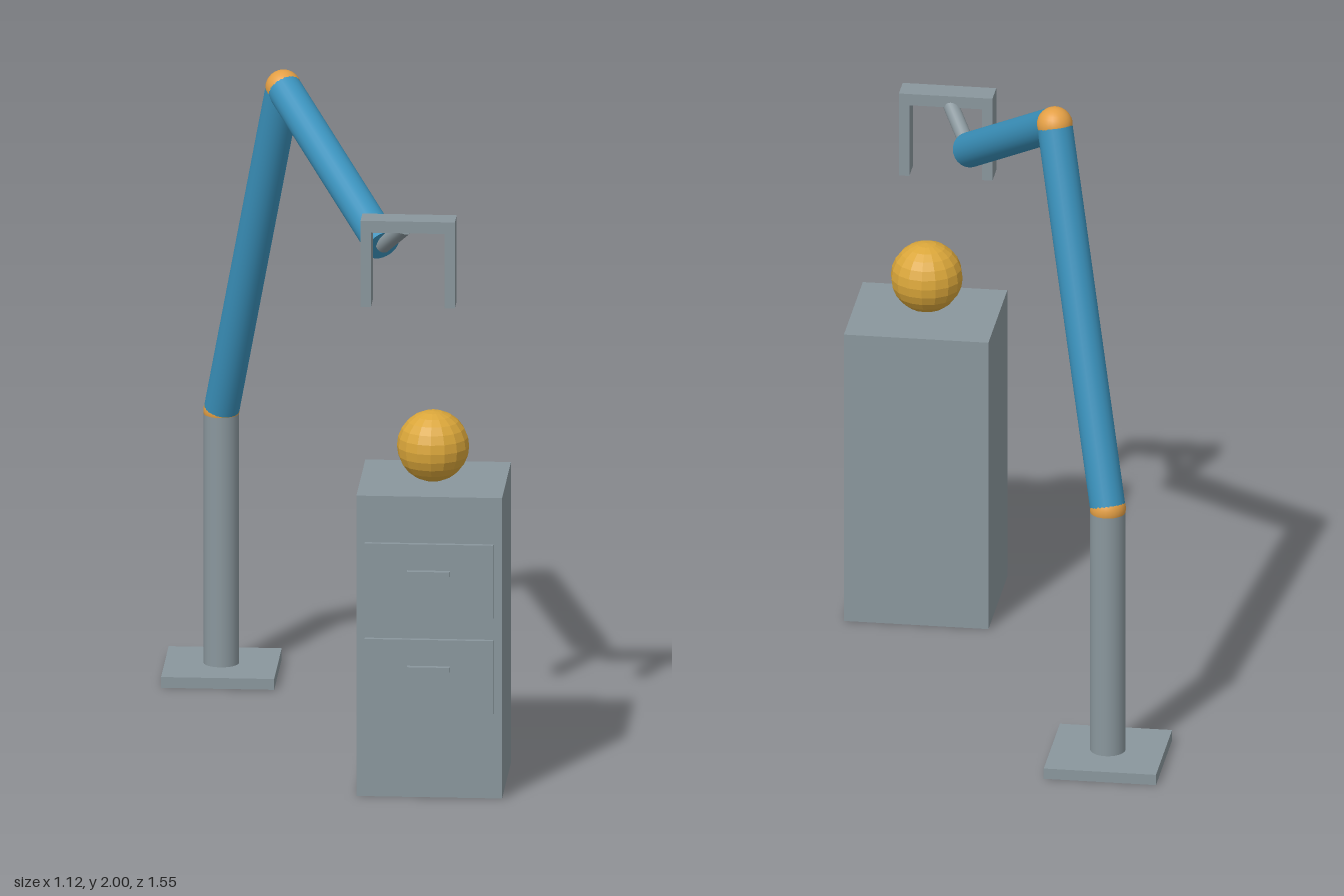
import * as THREE from 'three';

const paint = (name, color) => {
  const m = new THREE.MeshStandardMaterial({ color });
  m.name = name;
  return m;
};

export function createModel() {
  const group = new THREE.Group();
  const steel = paint('steel grey', 0x8a979d);
  const blue = paint('arm blue', 0x3a91bb);
  const gold = paint('ball gold', 0xdaa63a);
  const orange = paint('joint orange', 0xe39f45);
  gold.flatShading = true;

  const add = (name, geometry, material, x, y, z) => {
    const mesh = new THREE.Mesh(geometry, material);
    mesh.name = name;
    mesh.position.set(x, y, z);
    group.add(mesh);
    return mesh;
  };

  // Box given by its low and high corners
  const box = (name, a, b, material) => add(name,
    new THREE.BoxGeometry(b[0] - a[0], b[1] - a[1], b[2] - a[2]), material,
    (a[0] + b[0]) / 2, (a[1] + b[1]) / 2, (a[2] + b[2]) / 2);

  // Round bar between two points
  const rod = (name, a, b, radius, material) => {
    const dir = b.clone().sub(a);
    const mid = a.clone().lerp(b, 0.5);
    const mesh = add(name, new THREE.CylinderGeometry(radius, radius, dir.length(), 24),
      material, mid.x, mid.y, mid.z);
    mesh.quaternion.setFromUnitVectors(new THREE.Vector3(0, 1, 0), dir.normalize());
  };

  const foot = new THREE.Vector3(-0.388, 0.03, -0.604);
  const shoulder = new THREE.Vector3(-0.388, 0.83, -0.604);
  const elbow = new THREE.Vector3(-0.177, 1.945, -0.271);
  const wrist = new THREE.Vector3(0.162, 1.607, 0.272);
  const grip = new THREE.Vector3(0.238, 1.7, 0.396);

  // Robot arm
  box('basePlate', [-0.56, 0, -0.777], [-0.216, 0.034, -0.431], steel);
  rod('post', foot, shoulder, 0.054, steel);
  rod('upperArm', shoulder, elbow, 0.054, blue);
  rod('forearm', elbow, wrist, 0.054, blue);
  rod('wristRod', wrist, grip, 0.024, steel);
  for (const [name, p] of [['shoulderJoint', shoulder], ['elbowJoint', elbow]]) {
    add(name, new THREE.SphereGeometry(0.055, 24, 16), orange, p.x, p.y, p.z);
  }

  // Gripper
  box('gripperBar', [0.106, 1.698, 0.375], [0.393, 1.735, 0.457], steel);
  box('rightFinger', [0.106, 1.464, 0.375], [0.138, 1.7, 0.457], steel);
  box('leftFinger', [0.361, 1.464, 0.375], [0.393, 1.7, 0.457], steel);

  // Cabinet with two drawers
  box('cabinet', [0.112, 0, 0.33], [0.555, 0.947, 0.735], steel);
  for (const y of [0.687, 0.386]) {
    box('drawerFront', [0.138, y - 0.116, 0.743], [0.529, y + 0.116, 0.758], steel);
    box('drawerHandle', [0.268, y + 0.017, 0.758], [0.398, y + 0.034, 0.775], steel);
  }

  // Ball on the cabinet
  add('ball', new THREE.SphereGeometry(0.11, 16, 12), gold, 0.333, 1.058, 0.553);

  return group;
}
